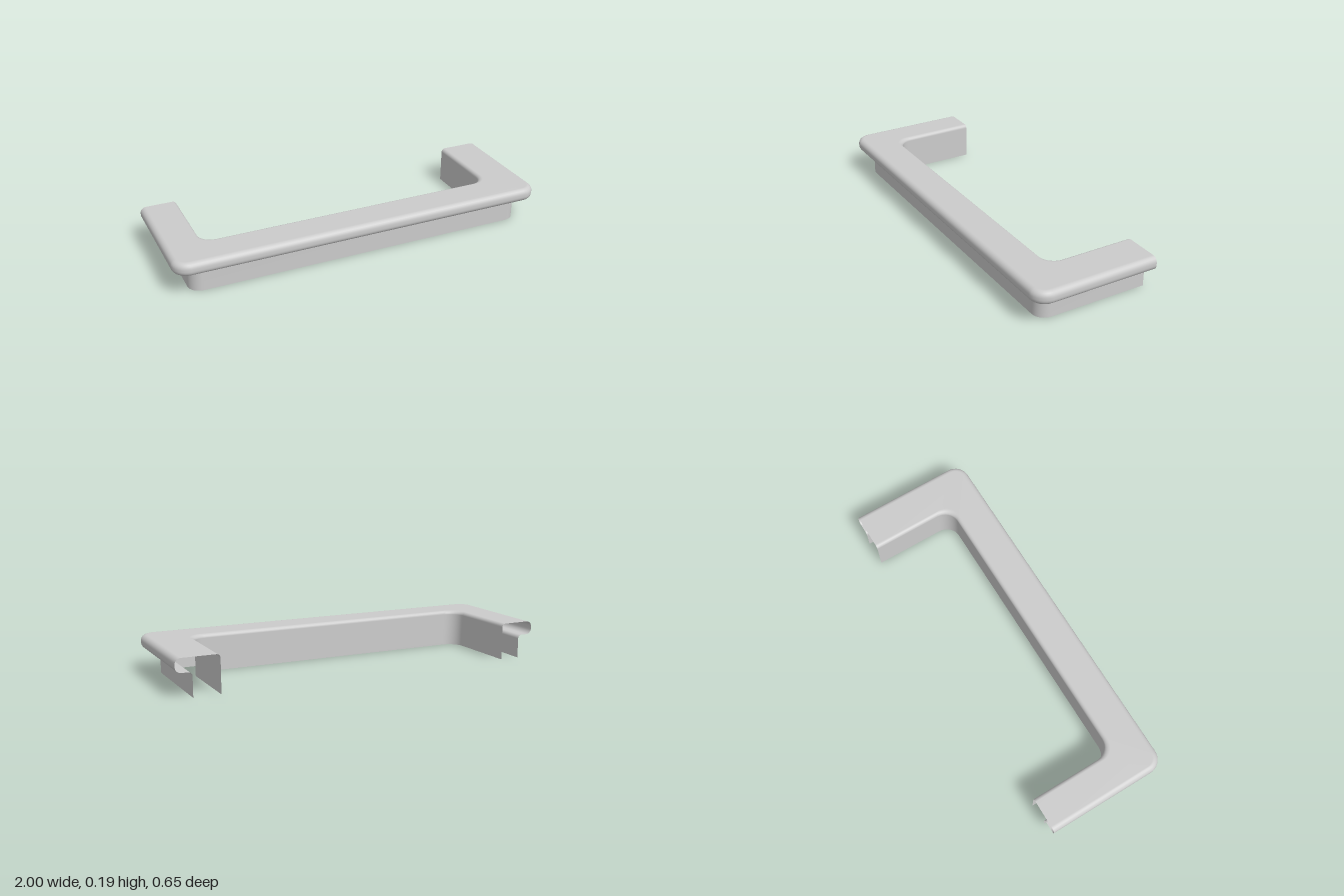
import * as THREE from 'three';

const BACK = -0.325;
const ARC = 8;

// One U-shaped line at height y: right leg, rounded corner, front, rounded corner, left leg
function uLine({ xr, xl, z, r, y }) {
  const pts = [[xr, y, BACK]];
  for (let i = 0; i <= ARC; i++) {
    const a = (i / ARC) * Math.PI / 2;
    pts.push([xr - r + r * Math.cos(a), y, z - r + r * Math.sin(a)]);
  }
  for (let i = 0; i <= ARC; i++) {
    const a = (1 - i / ARC) * Math.PI / 2;
    pts.push([-xl + r - r * Math.cos(a), y, z - r + r * Math.sin(a)]);
  }
  pts.push([-xl, y, BACK]);
  return pts;
}

// Skin a list of matching U lines into one smooth open sheet
function skin(levels) {
  const rows = levels.map(uLine);
  const n = rows[0].length;
  const index = [];
  for (let j = 0; j < rows.length - 1; j++) {
    for (let i = 0; i < n - 1; i++) {
      const a = j * n + i, b = a + n;
      index.push(a, b, a + 1, a + 1, b, b + 1);
    }
  }
  const g = new THREE.BufferGeometry();
  g.setAttribute('position', new THREE.Float32BufferAttribute(rows.flat(2), 3));
  g.setIndex(index);
  g.computeVertexNormals();
  return g;
}

export function createModel() {
  const group = new THREE.Group();
  const material = new THREE.MeshStandardMaterial({ color: 0xcccccc, side: THREE.DoubleSide });
  const levels = [];
  const outer = (x, z, r, y) => levels.push({ xr: x, xl: x, z, r, y });
  const inner = (d, y) => levels.push({ xr: 0.78 + d, xl: 0.81 + d, z: 0.13 + d, r: 0.08, y });
  const quarter = (steps, fn) => {
    for (let i = 0; i <= steps; i++) {
      const a = (i / steps) * Math.PI / 2;
      fn(Math.cos(a), Math.sin(a));
    }
  };

  // outer skirt with a small cove under the lip
  outer(0.917, 0.263, 0.065, 0);
  quarter(5, (c, s) => outer(0.917 + 0.02 * (1 - c), 0.263 + 0.02 * (1 - c), 0.065, 0.104 + 0.02 * s));
  // overhanging rounded lip
  quarter(6, (c, s) => outer(0.97 + 0.03 * s, 0.295 + 0.03 * s, 0.05 + 0.03 * s, 0.154 - 0.03 * c));
  quarter(6, (c, s) => outer(0.97 + 0.03 * c, 0.295 + 0.03 * c, 0.05 + 0.03 * c, 0.165 + 0.03 * s));
  // flat top, softened inner edge and inner wall
  quarter(5, (c, s) => inner(0.02 * (1 - s), 0.175 + 0.02 * c));
  inner(0, 0);

  const rail = new THREE.Mesh(skin(levels), material);
  rail.name = 'moldedRail';
  group.add(rail);
  return group;
}
